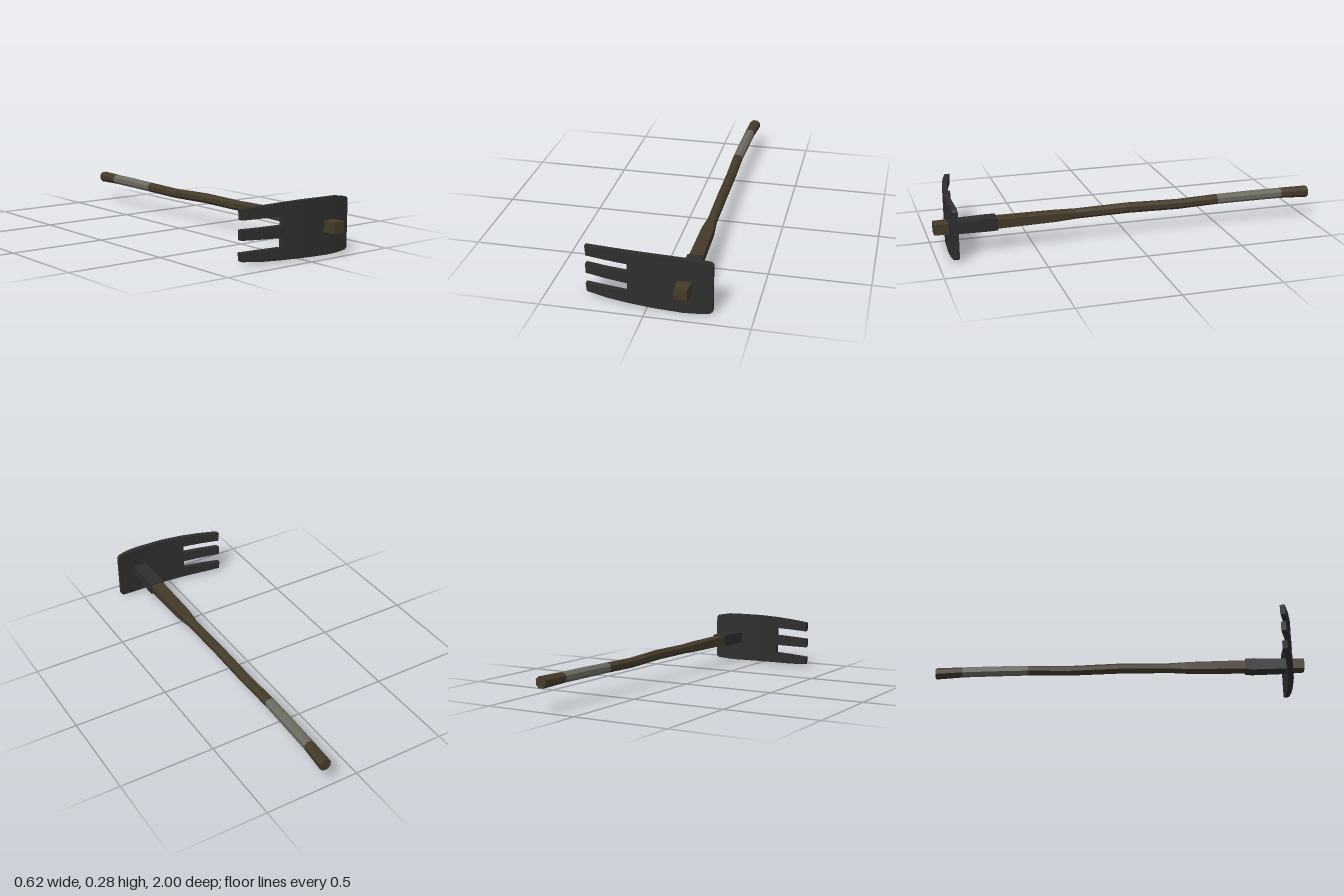
import * as THREE from 'three';

// Solid through matching rings of points, flat faced, capped at both ends
function loft(rings) {
  const pos = [];
  const tri = (a, b, c) => pos.push(...a, ...b, ...c);
  const n = rings[0].length;
  for (let i = 0; i < rings.length - 1; i++) {
    for (let j = 0; j < n; j++) {
      const k = (j + 1) % n;
      const [a, b, c, d] = [rings[i][j], rings[i][k], rings[i + 1][k], rings[i + 1][j]];
      tri(a, b, c);
      tri(a, c, d);
    }
  }
  const first = rings[0], last = rings[rings.length - 1];
  for (let j = 1; j < n - 1; j++) {
    tri(first[0], first[j + 1], first[j]);
    tri(last[0], last[j], last[j + 1]);
  }
  const g = new THREE.BufferGeometry();
  g.setAttribute('position', new THREE.Float32BufferAttribute(pos, 3));
  g.computeVertexNormals();
  return g;
}

// Blade curves backwards away from the handle
const bend = (x) => 0.917 - (x < 0.17 ? 0.28 : 0.5) * (x - 0.17) ** 2;
const HALF = 0.013;

// Blade section: low edge at (x0, y0), high edge at (x1, y1)
function bladeRing([x0, y0, y1, x1 = x0]) {
  const a = bend(x0), b = bend(x1);
  return [[x0, y0, a - HALF], [x1, y1, b - HALF], [x1, y1, b + HALF], [x0, y0, a + HALF]];
}

// Handle section: eight points, chamfer k runs from square (0) to round (0.55)
function shaftRing([z, cx, cy, hx, hy, k]) {
  const u = 1 - k;
  return [[1, -u], [1, u], [u, 1], [-u, 1], [-1, u], [-1, -u], [-u, -1], [u, -1]]
    .map(([x, y]) => [cx + x * hx, cy + y * hy, z]);
}

export function createModel() {
  const group = new THREE.Group();
  const material = (name, color) => {
    const m = new THREE.MeshStandardMaterial({ color });
    m.name = name;
    return m;
  };
  const iron = material('dark iron', 0x2e2e2e);
  const wood = material('brown wood', 0x443a29);
  const wrap = material('grey wrap', 0x6b6b61);
  const add = (name, geometry, mat) => {
    const mesh = new THREE.Mesh(geometry, mat);
    mesh.name = name;
    group.add(mesh);
  };

  // Broad plate of the hoe
  add('bladePlate', loft([
    [-0.097, 0.007, 0.275], [0.03, 0.004, 0.279], [0.17, 0.001, 0.278],
    [0.236, 0.003, 0.277], [0.297, 0.008, 0.267], [0.309, 0.018, 0.255],
  ].map(bladeRing)), iron);

  // Three tines
  const tines = {
    upperTine: [[-0.31, 0.21, 0.26, -0.312], [-0.2, 0.212, 0.269], [-0.096, 0.213, 0.275]],
    middleTine: [[-0.309, 0.117, 0.166], [-0.2, 0.114, 0.168], [-0.096, 0.112, 0.17]],
    lowerTine: [[-0.306, 0.018, 0.06, -0.311], [-0.2, 0.01, 0.064], [-0.096, 0.007, 0.066]],
  };
  tines.upperTine[0] = [-0.306, 0.21, 0.26, -0.31];
  for (const [name, sections] of Object.entries(tines)) add(name, loft(sections.map(bladeRing)), iron);

  // Iron socket behind the blade
  add('socket', loft([
    [0.685, 0.179, 0.141, 0.04, 0.031, 0.01],
    [0.73, 0.179, 0.141, 0.039, 0.033, 0.01],
    [0.925, 0.178, 0.14, 0.036, 0.03, 0.01],
  ].map(shaftRing)), iron);

  // Wooden handle: butt, wrapped grip, and the shaft running through the socket
  const buttTop = [-0.85, 0.177, 0.145, 0.026, 0.025, 0.55];
  const gripTop = [-0.49, 0.169, 0.143, 0.025, 0.024, 0.55];
  add('handleButt', loft([[-1, 0.185, 0.143, 0.029, 0.028, 0.55], buttTop].map(shaftRing)), wood);
  add('gripWrap', loft([buttTop, [-0.68, 0.173, 0.145, 0.026, 0.025, 0.55], gripTop].map(shaftRing)), wrap);
  add('handleShaft', loft([
    gripTop,
    [-0.27, 0.172, 0.138, 0.024, 0.024, 0.55],
    [0, 0.175, 0.146, 0.024, 0.025, 0.55],
    [0.28, 0.177, 0.143, 0.023, 0.024, 0.5],
    [0.39, 0.178, 0.142, 0.031, 0.024, 0.15],
    [0.69, 0.179, 0.141, 0.034, 0.025, 0.03],
    [0.92, 0.179, 0.14, 0.034, 0.029, 0.02],
    [1, 0.176, 0.14, 0.031, 0.028, 0.02],
  ].map(shaftRing)), wood);

  return group;
}
